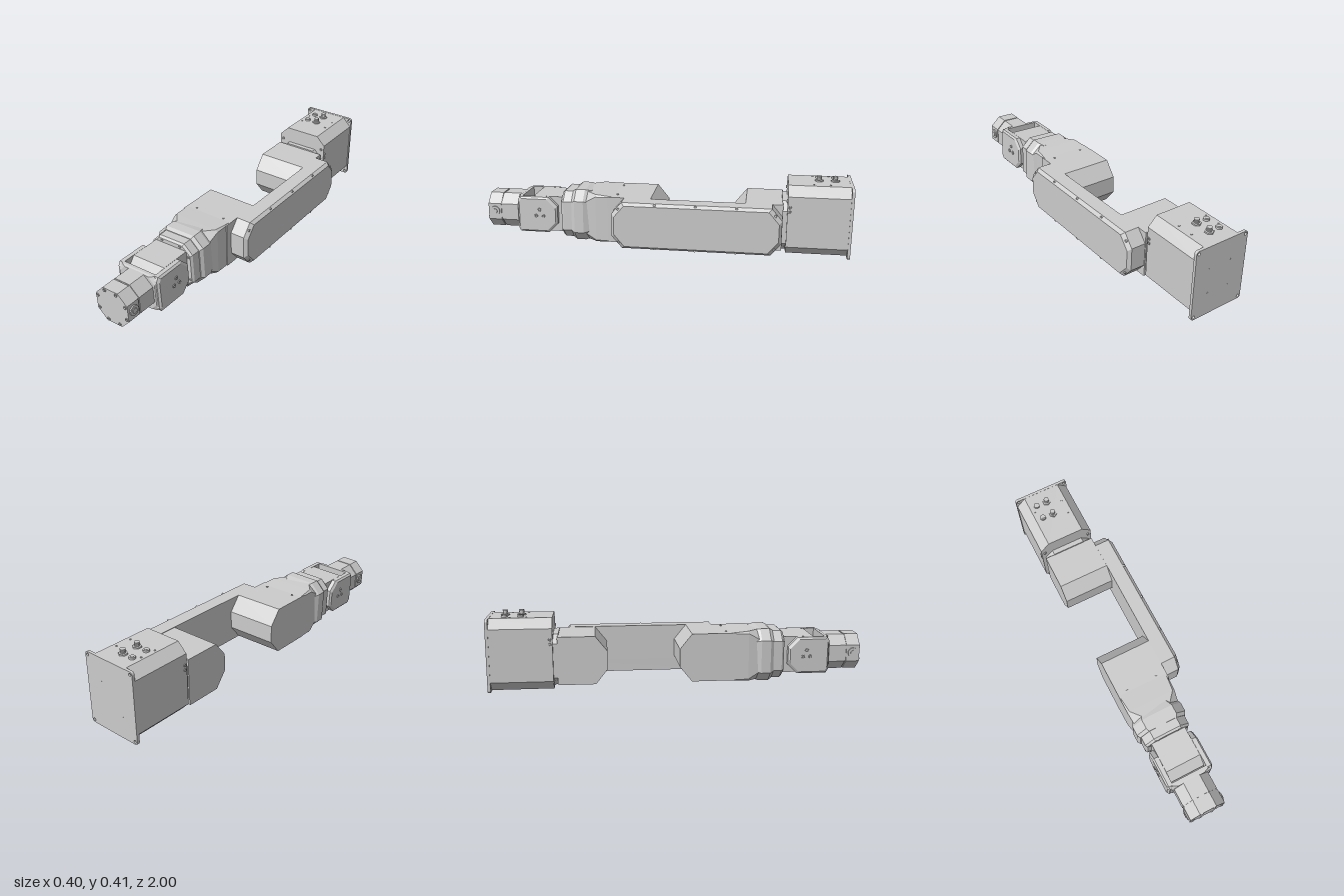
import * as THREE from 'three';

const grey = new THREE.MeshStandardMaterial({ color: 0xcccccc });

// Rectangle with chamfered corners, counter-clockwise; low / high = [cut in u, cut in v] at each v end
function octagon(u0, u1, v0, v1, low, high = low) {
  const [a, b] = low, [c, d] = high;
  return [[u0 + a, v0], [u1 - a, v0], [u1, v0 + b], [u1, v1 - d],
    [u1 - c, v1], [u0 + c, v1], [u0, v1 - d], [u0, v0 + b]];
}

// Flat-faced solid through sections [position, points], along 'z' (points xy) or 'x' (points yz)
function loft(axis, sections) {
  const pos = [];
  const put = ([u, v], w) => (axis === 'z' ? pos.push(u, v, w) : pos.push(w, u, v));
  for (let s = 0; s < sections.length - 1; s++) {
    const [w0, a] = sections[s], [w1, b] = sections[s + 1];
    for (let i = 0; i < a.length; i++) {
      const j = (i + 1) % a.length;
      put(a[i], w0); put(a[j], w0); put(b[j], w1);
      put(a[i], w0); put(b[j], w1); put(b[i], w1);
    }
  }
  const [w0, a] = sections[0], [w1, b] = sections[sections.length - 1];
  for (let i = 1; i < a.length - 1; i++) {
    put(a[0], w0); put(a[i + 1], w0); put(a[i], w0);
    put(b[0], w1); put(b[i], w1); put(b[i + 1], w1);
  }
  const g = new THREE.BufferGeometry();
  g.setAttribute('position', new THREE.Float32BufferAttribute(pos, 3));
  g.computeVertexNormals();
  return g;
}

function add(parent, name, geometry, x = 0, y = 0, z = 0) {
  const m = new THREE.Mesh(geometry, grey);
  m.name = name;
  m.position.set(x, y, z);
  parent.add(m);
  return m;
}

// Cylinder pointing along a chosen axis, centred on a point
function disc(parent, name, axis, r, h, x, y, z, sides = 20) {
  const g = new THREE.CylinderGeometry(r, r, h, sides);
  if (axis === 'x') g.rotateZ(Math.PI / 2);
  if (axis === 'z') g.rotateX(Math.PI / 2);
  return add(parent, name, g, x, y, z);
}

// Socket-head screw: a ring around a recessed middle
function screw(parent, axis, r, x, y, z) {
  const g = new THREE.LatheGeometry([[0, -0.001], [r * 0.5, -0.001], [r * 0.55, 0.004], [r * 0.9, 0.004],
    [r, 0.002], [r, -0.004]].map(([a, b]) => new THREE.Vector2(a, -b)), 14);
  g.rotateX(Math.PI);
  if (axis === 'x') g.rotateZ(-Math.PI / 2);
  if (axis === '-x') g.rotateZ(Math.PI / 2);
  if (axis === 'z') g.rotateX(Math.PI / 2);
  const m = add(parent, 'screw', g, x, y, z);
  m.material = grey.clone();
  m.material.side = THREE.DoubleSide;
}

const none = [0.003, 0.003];

function buildBase() {
  const base = new THREE.Group();
  base.name = 'base';
  // Mounting plate with rounded corners and bolt holes
  const x0 = -0.2, x1 = 0.112, y1 = 0.384, r = 0.015;
  const s = new THREE.Shape();
  s.absarc(x1 - r, r, r, -Math.PI / 2, 0);
  s.absarc(x1 - r, y1 - r, r, 0, Math.PI / 2);
  s.absarc(x0 + r, y1 - r, r, Math.PI / 2, Math.PI);
  s.absarc(x0 + r, r, r, Math.PI, Math.PI * 1.5);
  for (const x of [x0 + r, x1 - r]) for (const y of [r, y1 - r]) {
    s.holes.push(new THREE.Path().absarc(x, y, 0.008, 0, Math.PI * 2, true));
  }
  add(base, 'mountingPlate', new THREE.ExtrudeGeometry(s, { depth: 0.015, bevelEnabled: false, curveSegments: 8 }), 0, 0, -1);
  // Chamfered housing and neck
  const body = octagon(-0.197, 0.108, 0.004, 0.383, [0.05, 0.05]);
  add(base, 'baseHousing', loft('z', [[-0.985, body], [-0.662, body]]));
  const neck = octagon(-0.178, 0.092, 0.022, 0.293, [0.045, 0.045]);
  add(base, 'baseNeck', loft('z', [[-0.665, neck], [-0.635, neck]]));
  for (const x of [-0.178, 0.09]) for (const y of [0.05, 0.305]) screw(base, 'z', 0.008, x, y, -0.66);
  for (const y of [0.25, 0.275]) for (const z of [-0.675]) {
    screw(base, 'x', 0.008, 0.108, y, z);
    screw(base, '-x', 0.008, -0.197, y, z);
  }
  for (const x of [-0.11, 0.02]) for (const y of [0.12, 0.26]) disc(base, 'backPin', 'z', 0.007, 0.002, x, y, -1 + 0.0005);
  // Cable and air connectors on top
  for (const z of [-0.91, -0.825]) {
    disc(base, 'connectorFlange', 'y', 0.023, 0.008, -0.044, 0.386, z, 6);
    disc(base, 'connectorStem', 'y', 0.01, 0.03, -0.044, 0.396, z);
    for (let i = 0; i < 3; i++) disc(base, 'connectorRib', 'y', 0.0135, 0.005, -0.044, 0.394 + i * 0.0075, z);
    disc(base, 'socket', 'y', 0.016, 0.012, -0.105, 0.387, z);
    disc(base, 'socketPlug', 'y', 0.009, 0.014, -0.105, 0.388, z);
    for (const x of [-0.13, 0.035]) disc(base, 'topPin', 'y', 0.005, 0.004, x, 0.384, z + 0.03, 10);
  }
  return base;
}

function buildArm() {
  const arm = new THREE.Group();
  arm.name = 'arm';
  // Shoulder block, chamfered at its free end
  const shoulder = octagon(0.03, 0.285, -0.64, -0.38, none, [0.08, 0.063]);
  add(arm, 'shoulder', loft('x', [[-0.185, shoulder], [0.1, shoulder]]));
  // Long link with a bevelled outer cover
  const outline = (i) => octagon(0.03 + i, 0.287 - i, -0.637 + i, 0.264 - i, [0.065, 0.055]);
  add(arm, 'upperArmLink', loft('x', [[0.1, outline(0)], [0.18, outline(0)], [0.197, outline(0.015)]]));
  for (const z of [-0.6, -0.4, -0.185, 0.03, 0.225]) for (const y of [0.037, 0.28]) {
    const dy = Math.abs(z + 0.185) > 0.4 ? (y < 0.1 ? 0.03 : -0.03) : 0;
    disc(arm, 'coverScrew', 'x', 0.007, 0.02, 0.181, y + dy, z, 12);
  }
  return arm;
}

function buildForearm() {
  const forearm = new THREE.Group();
  forearm.name = 'forearm';
  // Elbow block, chamfered at the back
  const elbow = octagon(0.03, 0.287, 0, 0.3, [0.08, 0.065], none);
  add(forearm, 'elbow', loft('x', [[-0.185, elbow], [0.1, elbow]]));
  // Block blending to the octagonal front collar
  add(forearm, 'forearmTaper', loft('z', [
    [0.27, octagon(-0.185, 0.097, 0.03, 0.287, none)],
    [0.37, octagon(-0.184, 0.094, 0.022, 0.294, [0.012, 0.012])],
    [0.44, octagon(-0.175, 0.085, 0.02, 0.297, [0.062, 0.055])],
  ]));
  for (const x of [-0.13, 0.045]) disc(forearm, 'elbowPin', 'y', 0.006, 0.006, x, 0.288, 0.255, 12);
  return forearm;
}

// Wrist, built around its own roll axis
function buildWrist() {
  const wrist = new THREE.Group();
  wrist.name = 'wrist';
  const sec = (z, w, h, c) => [z, octagon(-w, w, -h, h, [c, c])];
  add(wrist, 'wristCollar', loft('z', [sec(0.405, 0.128, 0.136, 0.055), sec(0.44, 0.143, 0.144, 0.055),
    sec(0.49, 0.143, 0.144, 0.055), sec(0.508, 0.132, 0.134, 0.052)]));
  add(wrist, 'wristHousing', loft('z', [sec(0.5, 0.128, 0.131, 0.05), sec(0.555, 0.128, 0.131, 0.05),
    sec(0.567, 0.12, 0.122, 0.046)]));
  for (const sx of [-1, 1]) for (const sy of [-1, 1]) {
    screw(wrist, 'z', 0.008, sx * 0.108, sy * 0.068, 0.565);
    screw(wrist, 'z', 0.008, sx * 0.058, sy * 0.113, 0.565);
  }
  // Central knuckle held between the fork plates
  const knuckle = octagon(-0.098, 0.1, 0.56, 0.78, none, [0.06, 0.05]);
  add(wrist, 'knuckle', loft('x', [[-0.098, knuckle], [0.098, knuckle]]));
  // Fork: two side plates joined by a front bar
  const plate = (i) => octagon(-0.1 + i, 0.1 - i, 0.59 + i, 0.815 - i, [0.05, 0.05], [0.02, 0.012]);
  const side = [[0.099, plate(0)], [0.122, plate(0)], [0.131, plate(0.01)]];
  const mirrored = side.map(([x, p]) => [-x, p]).reverse();
  add(wrist, 'forkPlateLeft', loft('x', side));
  add(wrist, 'forkPlateRight', loft('x', mirrored));
  add(wrist, 'forkBar', loft('z', [sec(0.792, 0.122, 0.1, 0.02), sec(0.808, 0.122, 0.1, 0.02),
    sec(0.82, 0.11, 0.095, 0.035)]));
  for (const [y, z] of [[0.03, 0.69], [-0.005, 0.71], [-0.005, 0.67]]) {
    screw(wrist, 'x', 0.01, 0.131, y, z);
    screw(wrist, '-x', 0.01, -0.131, y, z);
  }
  // Octagonal tool head in two rings with a thin groove
  add(wrist, 'headRear', loft('z', [sec(0.815, 0.099, 0.097, 0.052), sec(0.915, 0.099, 0.097, 0.052)]));
  add(wrist, 'headGroove', loft('z', [sec(0.914, 0.095, 0.093, 0.05), sec(0.924, 0.095, 0.093, 0.05)]));
  add(wrist, 'toolHead', loft('z', [sec(0.922, 0.099, 0.097, 0.052), sec(0.996, 0.099, 0.097, 0.052)]));
  for (let i = 0; i < 8; i++) {
    const a = Math.PI / 8 + i * Math.PI / 4;
    screw(wrist, 'z', 0.009, 0.094 * Math.cos(a), 0.092 * Math.sin(a), 0.996);
  }
  // Round ports on the sides of the head
  for (const s of [-1, 1]) {
    disc(wrist, 'portRing', 'x', 0.027, 0.01, s * 0.101, 0.003, 0.958, 24);
    disc(wrist, 'portPlug', 'x', 0.014, 0.016, s * 0.102, 0.003, 0.958, 16);
  }
  // The wrist sits slightly rolled
  wrist.position.set(-0.044, 0.158, 0);
  wrist.rotation.z = 0.035;
  return wrist;
}

export function createModel() {
  const model = new THREE.Group();
  model.name = 'robotArm';
  model.add(buildBase(), buildArm(), buildForearm(), buildWrist());
  return model;
}
